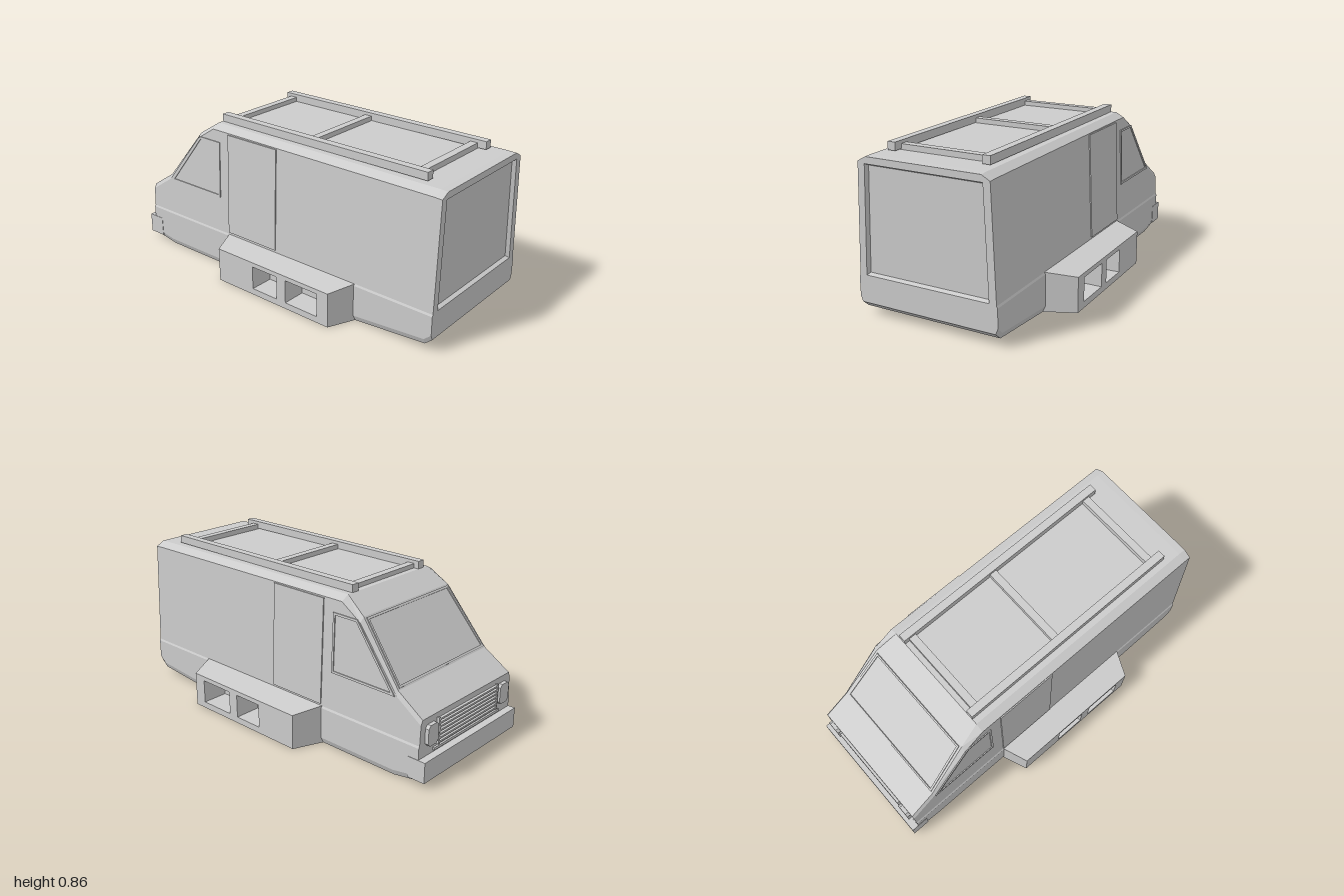
import * as THREE from 'three';

const grey = new THREE.MeshStandardMaterial({ color: 0xcccccc, flatShading: true, side: THREE.DoubleSide });
grey.name = 'plain grey';

// half width of the leaning side walls at a height
const halfWidth = (y) => 0.385 - (y - 0.2) * 0.042;

function add(parent, name, geometry, x = 0, y = 0, z = 0) {
  const mesh = new THREE.Mesh(geometry, grey);
  mesh.name = name;
  mesh.position.set(x, y, z);
  parent.add(mesh);
  return mesh;
}

const box = (w, h, d) => new THREE.BoxGeometry(w, h, d);
const toShape = (pts) => new THREE.Shape(pts.map(([a, b]) => new THREE.Vector2(a, b)));

function plate(pts, depth, holes = []) {
  const shape = toShape(pts);
  holes.forEach((h) => shape.holes.push(toShape(h)));
  return new THREE.ExtrudeGeometry(shape, { depth, bevelEnabled: false });
}

// joins equal rings of [x, y, z] points into a skin
function loft(rings) {
  const n = rings[0].length, index = [];
  for (let i = 0; i < rings.length - 1; i++) {
    for (let j = 0; j < n; j++) {
      const a = i * n + j, b = i * n + (j + 1) % n;
      index.push(a, a + n, b, b, a + n, b + n);
    }
  }
  const g = new THREE.BufferGeometry();
  g.setAttribute('position', new THREE.Float32BufferAttribute(rings.flat(2), 3));
  g.setIndex(index);
  g.computeVertexNormals();
  return g;
}

// cross-section of the van, counter-clockwise seen from +z
function section([, bottom, top, chamfer]) {
  const s = top - 0.025;
  const right = [[0.378, bottom], [0.39, bottom + 0.03], [0.39, 0.2],
    [halfWidth(0.21), 0.21], [halfWidth(s), s], [halfWidth(s) - chamfer, top]];
  return [...right, ...right.map(([x, y]) => [-x, y]).reverse()];
}

// plate lying on the +x side wall, outline given as [z, y]
function sidePlate(pts, depth, holes = []) {
  const flip = (list) => list.map(([z, y]) => [-z, y]);
  const g = plate(flip(pts), depth, holes.map(flip));
  const p = g.attributes.position;
  for (let i = 0; i < p.count; i++) {
    p.setXYZ(i, halfWidth(p.getY(i)) + p.getZ(i), p.getY(i), -p.getX(i));
  }
  g.computeVertexNormals();
  return g;
}

// side pod with two open compartments, flared towards the body
function podGeometry() {
  const rect = (z0, z1, y0, y1) => [[-z0, y0], [-z1, y0], [-z1, y1], [-z0, y1]];
  const g = plate(rect(0.48, -0.28, 0, 0.19), 0.16,
    [rect(0.41, 0.2, 0.035, 0.165), rect(0.14, -0.03, 0.035, 0.165)]);
  const p = g.attributes.position;
  for (let i = 0; i < p.count; i++) {
    const inner = p.getZ(i) < 0.01;
    let z = -p.getX(i), y = p.getY(i);
    if (inner && z > 0.47) z = 0.55;
    if (inner && z < -0.27) z = -0.345;
    if (inner && y > 0.18) y = 0.212;
    p.setXYZ(i, 0.37 + p.getZ(i), y, z);
  }
  g.computeVertexNormals();
  return g;
}

export function createModel() {
  const model = new THREE.Group();
  model.name = 'van';
  const van = new THREE.Group();
  van.name = 'vanBody';
  van.position.x = -0.01;
  model.add(van);

  // body shell: z, bottom, top, roof chamfer
  const stations = [
    [1, 0.07, 0.81, 0.045], [0.96, 0.035, 0.812, 0.045], [0.55, 0, 0.814, 0.045],
    [-0.45, 0, 0.818, 0.045], [-0.57, 0, 0.74, 0.025], [-0.81, 0, 0.44, 0.012],
    [-0.96, 0.025, 0.34, 0.012],
  ];
  add(van, 'bodyShell', loft(stations.map((s) => section(s).map(([x, y]) => [x, y, s[0]]))));

  // tail with a sunken panel
  const panel = [[-0.345, 0.215], [0.345, 0.215], [0.322, 0.775], [-0.322, 0.775]];
  const inset = [[-0.335, 0.225], [0.335, 0.225], [0.313, 0.765], [-0.313, 0.765]];
  const tail = toShape(section(stations[0]));
  tail.holes.push(toShape(panel));
  add(van, 'tailFrame', new THREE.ShapeGeometry(tail), 0, 0, 1);
  add(van, 'tailRecess', loft([panel.map(([x, y]) => [x, y, 1]), inset.map(([x, y]) => [x, y, 0.98])]));
  add(van, 'tailPanel', new THREE.ShapeGeometry(toShape(inset)), 0, 0, 0.98);

  // nose, bumper, grille and headlights
  const nose = section(stations[6]).map(([x, y]) => [-x, y]);
  add(van, 'nose', new THREE.ShapeGeometry(toShape(nose)), 0, 0, -0.96).rotation.y = Math.PI;
  add(van, 'cabBumper', box(0.784, 0.11, 0.1), 0, 0.085, -0.95);
  for (let i = 0; i < 7; i++) {
    add(van, 'grilleSlat', box(0.5, 0.009, 0.016), 0, 0.185 + i * 0.02, -0.966);
  }
  add(van, 'lowerGrille', box(0.56, 0.014, 0.012), 0, 0.158, -0.964);
  for (const s of [-1, 1]) {
    add(van, 'grilleEnd', box(0.01, 0.14, 0.016), s * 0.25, 0.245, -0.966);
    const w = 0.04, h = 0.055, c = 0.016;
    const lamp = [[-w + c, -h], [w - c, -h], [w, -h + c], [w, h - c],
      [w - c, h], [-w + c, h], [-w, h - c], [-w, -h + c]];
    add(van, 'headlight', plate(lamp, 0.022), s * 0.305, 0.25, -0.98);
  }

  // windscreen surround on the sloping cab front
  const up = new THREE.Vector3(0, 0.3, 0.24).normalize();
  const out = new THREE.Vector3(0, 0.24, -0.3).normalize();
  const screen = add(van, 'windscreenSurround', plate(
    [[-0.352, 0.008], [0.352, 0.008], [0.326, 0.376], [-0.326, 0.376]], 0.005,
    [[[-0.34, 0.02], [0.34, 0.02], [0.315, 0.364], [-0.315, 0.364]]]));
  screen.geometry.applyMatrix4(new THREE.Matrix4().makeBasis(new THREE.Vector3(-1, 0, 0), up, out));
  screen.position.set(0, 0.44, -0.81);

  // mirrored side details
  const windowOuter = [[-0.4, 0.728], [-0.553, 0.728], [-0.8, 0.412], [-0.4, 0.412]];
  const windowInner = [[-0.412, 0.716], [-0.547, 0.716], [-0.775, 0.424], [-0.412, 0.424]];
  const door = [[0.01, 0.222], [-0.335, 0.222], [-0.335, 0.785], [0.01, 0.785]];
  for (const s of [-1, 1]) {
    add(van, 'sideWindowSurround', sidePlate(windowOuter, 0.005, [windowInner])).scale.x = s;
    add(van, 'slidingDoor', sidePlate(door, 0.006)).scale.x = s;
    const pod = add(model, 'sidePod', podGeometry());
    pod.scale.x = s;
    pod.position.x = -0.003;
  }

  // roof rack
  for (const s of [-1, 1]) {
    add(van, 'roofRail', box(0.043, 0.042, 1.32), s * 0.262, 0.838, 0.21);
  }
  for (const z of [-0.4, 0.14, 0.8]) {
    add(van, 'roofCrossbar', box(0.5, 0.03, 0.042), 0, 0.827, z);
  }
  return model;
}
